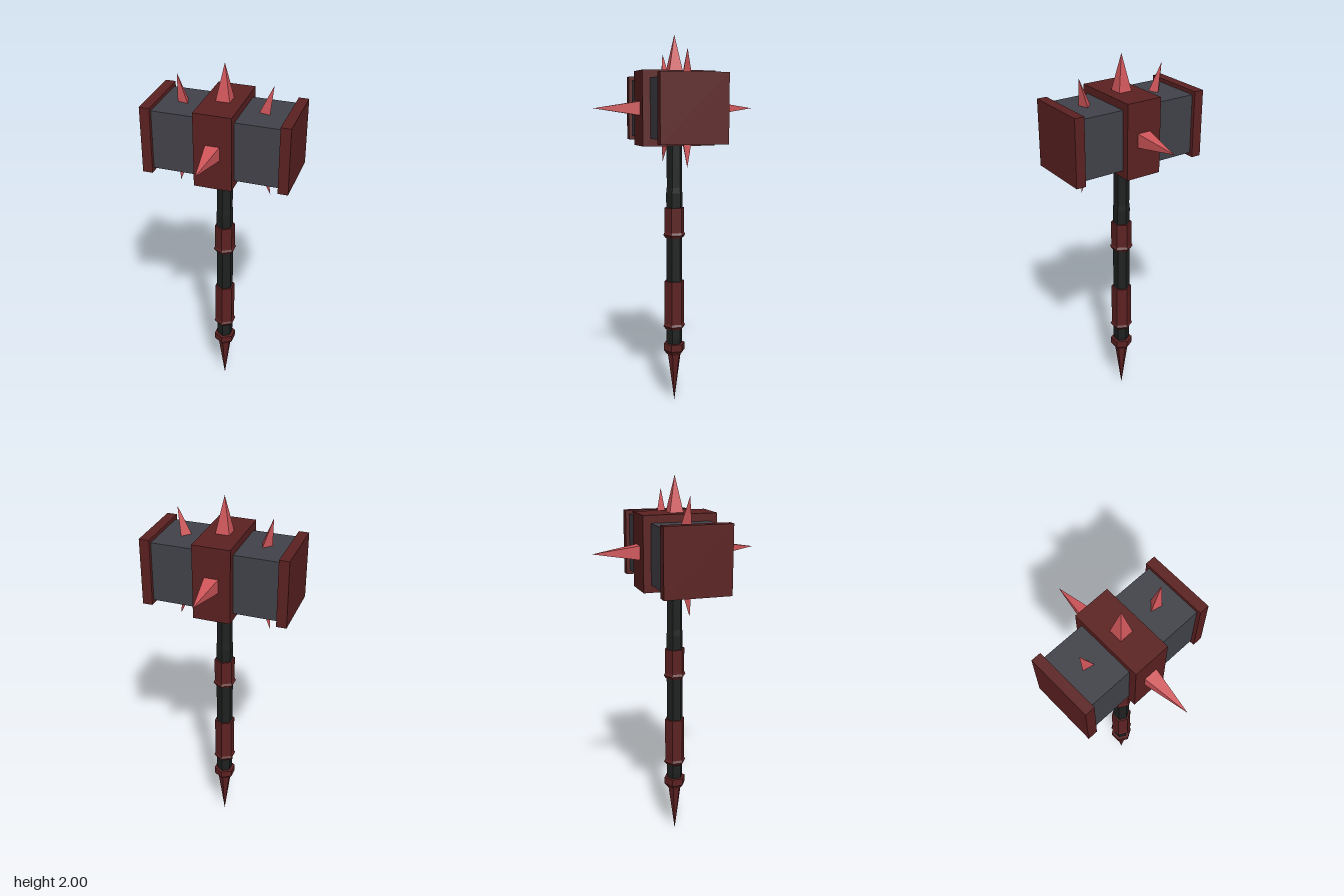
import * as THREE from 'three';

const flat = (name, color) => {
  const m = new THREE.MeshStandardMaterial({ color, flatShading: true });
  m.name = name;
  return m;
};

export function createModel() {
  const red = flat('darkRed', 0x5c2121);
  const grey = flat('slateGrey', 0x42434a);
  const black = flat('gripBlack', 0x1f2121);
  const spikeRed = flat('spikeRed', 0xd0565a);
  const model = new THREE.Group();

  const add = (name, geometry, material, x = 0, y = 0, z = 0) => {
    const mesh = new THREE.Mesh(geometry, material);
    mesh.name = name;
    mesh.position.set(x, y, z);
    model.add(mesh);
    return mesh;
  };
  // six-sided turned part, profile given from bottom to top as [radius, y]
  const turned = (name, profile, material) =>
    add(name, new THREE.LatheGeometry(profile.map(([r, y]) => new THREE.Vector2(r, y)), 6), material);

  // Head: block, centre band and end caps
  const cy = 1.62;
  add('headBlock', new THREE.BoxGeometry(0.66, 0.31, 0.31), grey, 0, cy, 0);
  add('centreBand', new THREE.BoxGeometry(0.194, 0.39, 0.39), red, 0, cy, 0);
  for (const s of [-1, 1])
    add('endCap', new THREE.BoxGeometry(0.052, 0.35, 0.35), red, s * 0.35, cy, 0);

  // Square spikes on the top, front and back of the band
  const squareSpike = (length) =>
    new THREE.ConeGeometry(0.037 * Math.SQRT2, length, 4).rotateY(Math.PI / 4).translate(0, length / 2, 0);
  add('topSpike', squareSpike(0.19), spikeRed, 0, 1.81, 0);
  for (const s of [-1, 1])
    add('bandSpike', squareSpike(0.245), spikeRed, 0, cy, s * 0.19).rotation.x = s * Math.PI / 2;

  // Three-sided spikes above and below the block, leaning outwards
  for (const sx of [-1, 1]) {
    for (const sy of [-1, 1]) {
      const g = new THREE.ConeGeometry(0.035, 0.148, 3);
      if (sy < 0) g.rotateX(Math.PI);
      g.rotateY(sy > 0 ? 2.92 : -0.22);
      const p = g.attributes.position;
      for (let i = 0; i < p.count; i++) {
        const t = 0.5 + sy * p.getY(i) / 0.148;
        p.setX(i, p.getX(i) + sx * 0.037 * t);
      }
      g.computeVertexNormals();
      add('sideSpike', g, spikeRed, sx * 0.207, cy + sy * 0.223, 0);
    }
  }

  // Handle with a slightly thicker grip
  turned('handle', [[0, 0.3], [0.04, 0.3], [0.045, 0.36], [0.045, 1.17], [0.042, 1.2], [0.042, 1.5], [0, 1.5]], black);

  // Flared collars
  for (const [bottom, top] of [[0.925, 1.09], [0.415, 0.685]])
    turned('collar', [[0, bottom], [0.05, bottom], [0.062, bottom + 0.017], [0.055, bottom + 0.03],
      [0.055, top], [0, top]], red);

  // Pommel ring and end spike
  turned('pommelRing', [[0, 0.27], [0.042, 0.27], [0.06, 0.293], [0.06, 0.332], [0, 0.332]], red);
  turned('pommelSpike', [[0, 0], [0.038, 0.28], [0, 0.28]], red);

  return model;
}
